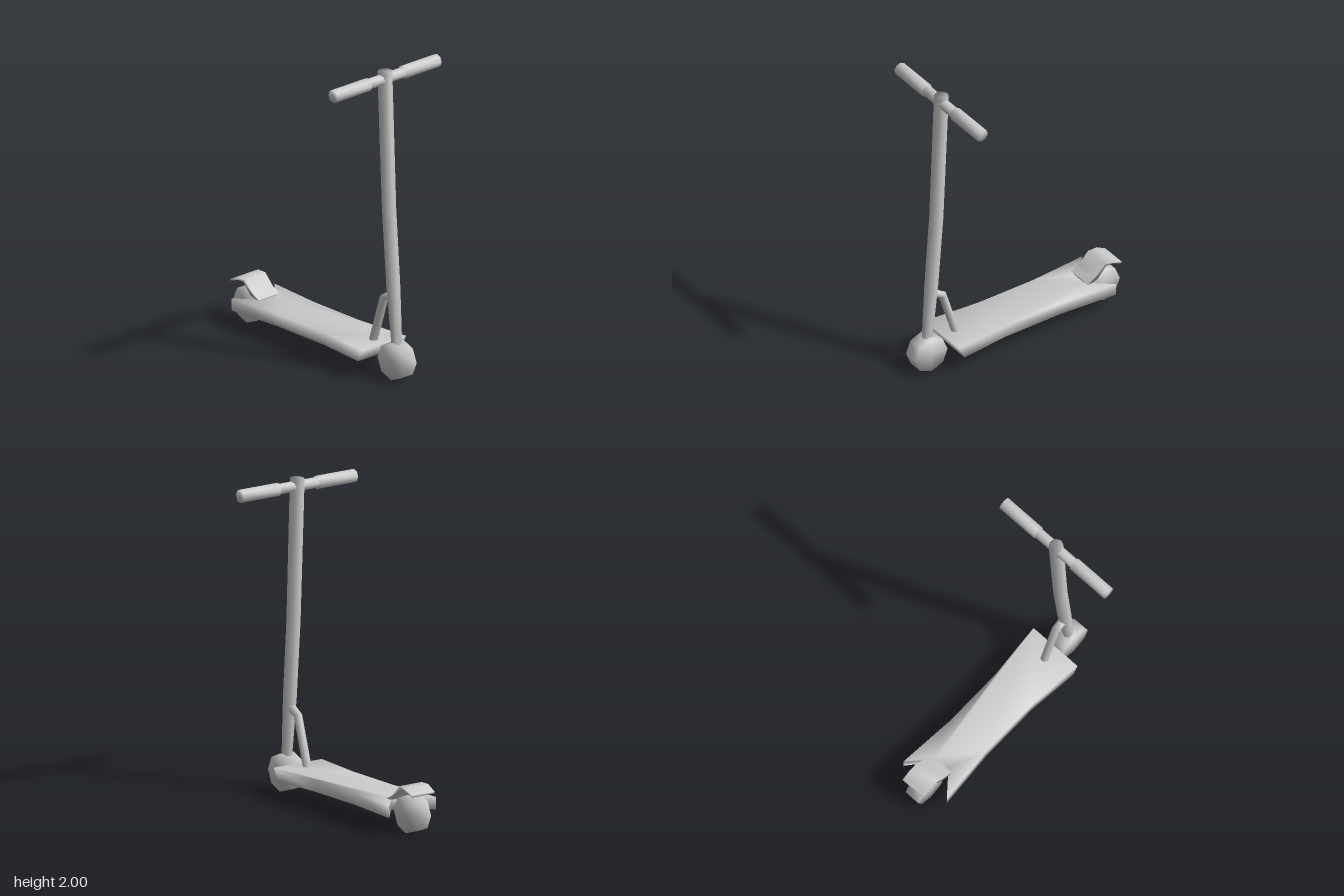
import * as THREE from 'three';
import { mergeVertices } from 'three/addons/utils/BufferGeometryUtils.js';

const material = new THREE.MeshStandardMaterial({ color: 0xcccccc });

// Weld shared corners so low-poly forms shade softly
function soften(geometry) {
  geometry.deleteAttribute('normal');
  geometry.deleteAttribute('uv');
  const welded = mergeVertices(geometry, 1e-4);
  welded.computeVertexNormals();
  return welded;
}

function part(name, geometry, parent) {
  const mesh = new THREE.Mesh(soften(geometry), material);
  mesh.name = name;
  parent.add(mesh);
  return mesh;
}

// Closed prism from an outline, centred on its depth
function prism(outline, depth) {
  const shape = new THREE.Shape(outline.map(([x, y]) => new THREE.Vector2(x, y)));
  return new THREE.ExtrudeGeometry(shape, { depth, bevelEnabled: false }).translate(0, 0, -depth / 2);
}

// Eight-sided cylinder lying along z
function axle(radius, length) {
  return new THREE.CylinderGeometry(radius, radius, length, 8).rotateX(Math.PI / 2);
}

// Tube through stations [x, y, radius] in the xy plane, with capped ends
function taperedTube(stations, sides = 8) {
  const positions = [];
  const index = [];
  const last = stations.length - 1;
  stations.forEach(([x, y, r], i) => {
    const a = stations[Math.max(i - 1, 0)];
    const b = stations[Math.min(i + 1, last)];
    const d = new THREE.Vector2(b[0] - a[0], b[1] - a[1]).normalize();
    for (let j = 0; j < sides; j++) {
      const t = (j / sides) * Math.PI * 2;
      positions.push(x + d.y * r * Math.cos(t), y - d.x * r * Math.cos(t), r * Math.sin(t));
      if (i < last) {
        const p = i * sides + j;
        const q = i * sides + ((j + 1) % sides);
        index.push(p, p + sides, q, q, p + sides, q + sides);
      }
    }
  });
  for (let j = 1; j < sides - 1; j++) {
    const top = last * sides;
    index.push(0, j, j + 1, top, top + j + 1, top + j);
  }
  const geometry = new THREE.BufferGeometry();
  geometry.setAttribute('position', new THREE.Float32BufferAttribute(positions, 3));
  geometry.setIndex(index);
  return geometry;
}

export function createModel() {
  const scooter = new THREE.Group();
  scooter.name = 'kickScooter';

  // Waisted deck, notched at the rear for the wheel
  const half = [[-0.5, 0.055], [-0.65, 0.18], [-0.26, 0.15], [0.15, 0.15], [0.53, 0.183]];
  const outline = [...half, ...half.map(([x, z]) => [x, -z]).reverse()];
  const deck = prism(outline, 0.08).rotateX(-Math.PI / 2).translate(0, 0.155, 0);
  const corners = deck.attributes.position;
  for (let i = 0; i < corners.count; i++) {
    // Undercut the nose
    if (corners.getX(i) > 0.5 && corners.getY(i) < 0.15) corners.setX(i, 0.49);
  }
  part('deck', deck, scooter);

  // Wheels
  for (const [name, x] of [['rearWheel', -0.65], ['frontWheel', 0.645]]) {
    part(name, axle(0.12, 0.105), scooter).position.set(x, 0.12, 0);
  }

  // Bent sheet fender, also the foot brake
  const fender = [
    [-0.76, 0.265], [-0.76, 0.253], [-0.69, 0.28], [-0.642, 0.28], [-0.575, 0.205], [-0.505, 0.19],
    [-0.505, 0.2], [-0.56, 0.228], [-0.63, 0.3], [-0.695, 0.3],
  ];
  part('rearFender', prism(fender, 0.173), scooter);

  // Steering column and brace
  part('steeringColumn', taperedTube([
    [0.642, 0.22, 0.033], [0.611, 0.6, 0.043], [0.573, 1.1, 0.044], [0.535, 1.998, 0.046],
  ]), scooter);
  part('columnBrace', taperedTube([
    [0.43, 0.185, 0.027], [0.528, 0.498, 0.027], [0.59, 0.532, 0.027],
  ]), scooter);

  // Handlebar with a grip at each end
  const handlebar = new THREE.Group();
  handlebar.name = 'handlebar';
  handlebar.position.set(0.537, 1.948, 0);
  part('crossbar', axle(0.035, 0.32), handlebar);
  for (const side of [-1, 1]) {
    part(side > 0 ? 'frontGrip' : 'backGrip', axle(0.043, 0.287), handlebar).position.z = side * 0.292;
  }
  scooter.add(handlebar);

  return scooter;
}
